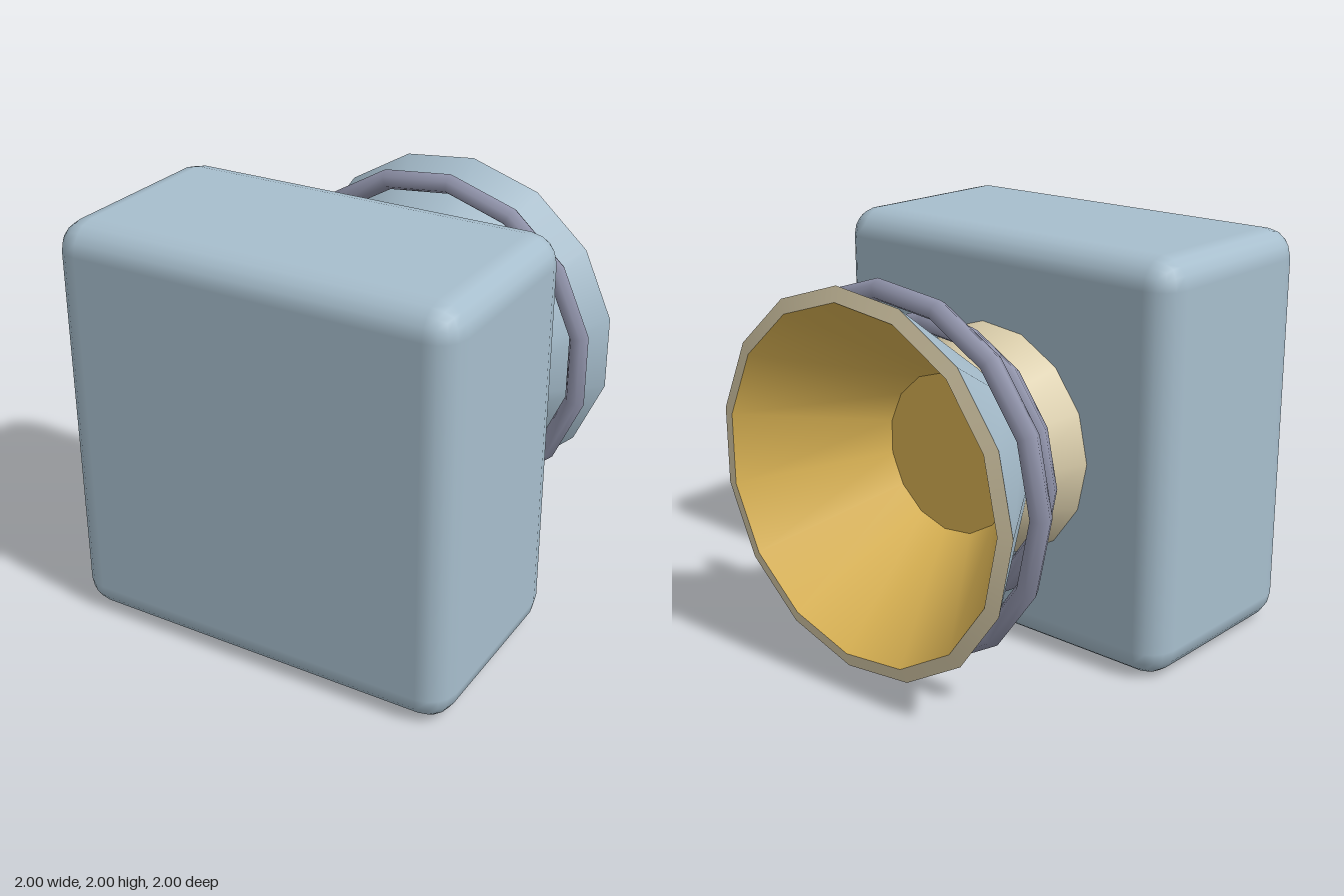
import * as THREE from 'three';
import { RoundedBoxGeometry } from 'three/addons/geometries/RoundedBoxGeometry.js';

const SIDES = 15;

function material(name, color) {
  const m = new THREE.MeshStandardMaterial({ color });
  m.name = name;
  return m;
}

export function createModel() {
  const blue = material('pale blue', 0xa7becd);
  const cream = material('cream', 0xdccfac);
  const gold = material('gold', 0xdeb655);
  const violet = material('grey violet', 0x9093aa);

  const group = new THREE.Group();
  const horn = new THREE.Group();
  horn.name = 'horn';
  horn.position.y = 1;
  group.add(horn);

  const add = (parent, name, geometry, mat) => {
    const mesh = new THREE.Mesh(geometry, mat);
    mesh.name = name;
    parent.add(mesh);
    return mesh;
  };

  // Turned band about the z axis, from [radius, z] to [radius, z], with a corner at -x
  const band = (name, mat, ...profile) => {
    const points = profile.map(([r, z]) => new THREE.Vector2(r, z));
    const geometry = new THREE.LatheGeometry(points, SIDES);
    geometry.rotateX(Math.PI / 2).rotateZ(-Math.PI / 2);
    add(horn, name, geometry, mat);
  };

  // Rounded block
  const body = add(group, 'body', new RoundedBoxGeometry(2, 2, 1.08, 2, 0.14), blue);
  body.position.set(0, 1, 0.46);

  // Horn, from the throat outwards and back to the block
  band('throat', gold, [0, -0.38], [0.39, -0.38]);
  band('bellInside', gold, [0.39, -0.38], [0.835, -1]);
  band('rim', cream, [0.835, -1], [0.905, -0.98]);
  band('bellOutside', blue, [0.905, -0.98], [0.46, -0.345]);
  band('neck', cream, [0.46, -0.345], [0.58, -0.07]);

  // Loose hoops around the bell
  for (const [name, radius, z] of [['innerHoop', 0.648, -0.46], ['outerHoop', 0.843, -0.73]]) {
    const hoop = add(horn, name, new THREE.TorusGeometry(radius, 0.052, 6, SIDES), violet);
    hoop.rotation.z = Math.PI;
    hoop.position.z = z;
  }

  return group;
}
